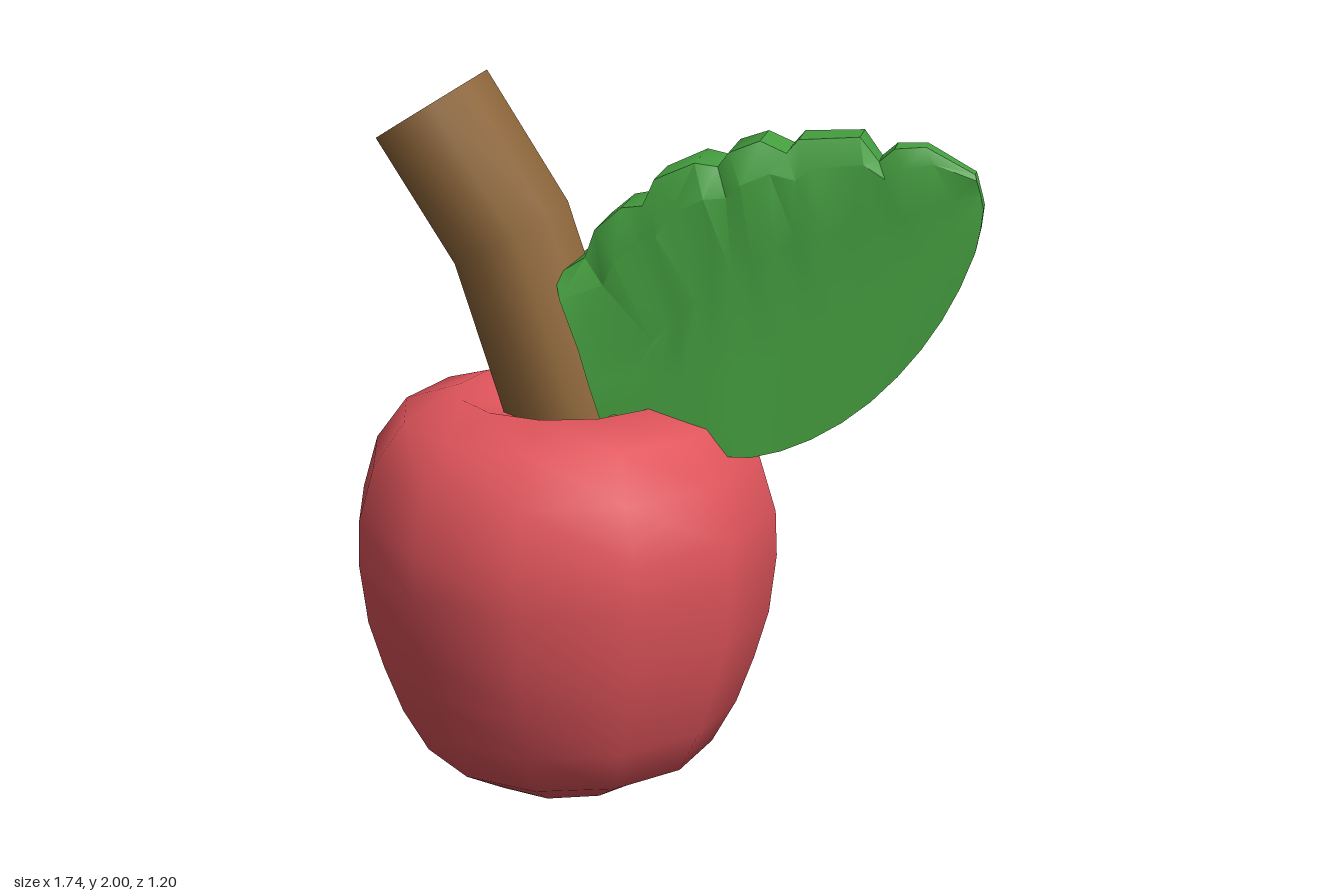
import * as THREE from 'three';
import { toCreasedNormals } from 'three/addons/utils/BufferGeometryUtils.js';

const V = (x, y, z = 0) => new THREE.Vector3(x, y, z);

// Skin a row of equal rings (counter-clockwise seen from ahead); optional fans close the ends.
function loft(rings, capStart, capEnd, crease) {
  const n = rings[0].length, pos = [], idx = [];
  rings.flat().forEach(p => pos.push(p.x, p.y, p.z));
  for (let r = 0; r < rings.length - 1; r++) {
    for (let i = 0; i < n; i++) {
      const a = r * n + i, b = r * n + (i + 1) % n;
      idx.push(a, b, a + n, b, b + n, a + n);
    }
  }
  const cap = (r, flip) => {
    const c = rings[r].reduce((s, p) => s.add(p), V(0, 0)).divideScalar(n);
    const k = pos.length / 3;
    pos.push(c.x, c.y, c.z);
    for (let i = 0; i < n; i++) {
      const a = r * n + i, b = r * n + (i + 1) % n;
      idx.push(...(flip ? [b, a, k] : [a, b, k]));
    }
  };
  if (capStart) cap(0, true);
  if (capEnd) cap(rings.length - 1, false);
  const g = new THREE.BufferGeometry();
  g.setAttribute('position', new THREE.Float32BufferAttribute(pos, 3));
  g.setIndex(idx);
  return toCreasedNormals(g, crease);
}

function part(name, geometry, color) {
  const mesh = new THREE.Mesh(geometry, new THREE.MeshStandardMaterial({ color }));
  mesh.name = name;
  return mesh;
}

// Twelve-sided fruit with a dimple at each end
function makeFruit() {
  const profile = [[0, 0.17], [0.14, 0.12], [0.28, 0.015], [0.42, 0.09], [0.49, 0.22], [0.54, 0.36],
    [0.58, 0.5], [0.6, 0.67], [0.595, 0.8], [0.55, 0.95], [0.46, 1.07], [0.3, 1.12], [0.17, 1.07], [0, 1.02]];
  const g = new THREE.LatheGeometry(profile.map(p => new THREE.Vector2(...p)), 12);
  // the bottom rim dips a little towards front and back
  const p = g.attributes.position;
  for (let i = 0; i < p.count; i++) {
    if (p.getY(i) < 0.05) p.setY(i, 0.03 - 0.1 * Math.abs(p.getZ(i)));
  }
  const mesh = part('fruit', g, 0xdf545b);
  mesh.position.x = -0.27;
  return mesh;
}

// One ten-sided ring of the stem, tilted in the xy plane
function stemRing([x, y, z], tilt, radius) {
  return Array.from({ length: 10 }, (_, i) => {
    const a = i * Math.PI / 5, u = Math.cos(a) * radius;
    return V(x + u * Math.cos(tilt), y + u * Math.sin(tilt), z - Math.sin(a) * radius);
  });
}

// Thick leaf: cross-sections run from the stem to the tip, with a grooved midrib on both faces
function makeLeaf() {
  const upper = [[-0.27, 1.47], [-0.19, 1.52], [-0.16, 1.6], [-0.09, 1.66], [-0.03, 1.67], [0, 1.74],
    [0.11, 1.79], [0.17, 1.78], [0.2, 1.82], [0.28, 1.85], [0.35, 1.82], [0.38, 1.855], [0.54, 1.865],
    [0.59, 1.8], [0.63, 1.835], [0.71, 1.84], [0.84, 1.77]];
  const lower = new THREE.CatmullRomCurve3([V(-0.1, 1.1), V(0.08, 1.02), V(0.25, 0.99), V(0.4, 1.03),
    V(0.55, 1.12), V(0.68, 1.25), V(0.78, 1.4), V(0.85, 1.57), V(0.865, 1.68)]);
  const rib = new THREE.CatmullRomCurve3([V(0, 1.3), V(0.15, 1.45), V(0.35, 1.57), V(0.6, 1.64), V(0.855, 1.72)]);
  const halfWidth = x => THREE.MathUtils.mapLinear(THREE.MathUtils.clamp(x, 0.15, 0.87), 0.15, 0.87, 0.15, 0.028);
  const rings = upper.map(([ux, uy], i) => {
    const t = Math.max(0, (i - 1) / (upper.length - 2));
    const L = i ? lower.getPoint(t) : V(-0.14, 1.08);
    const M = i ? rib.getPoint(t) : V(-0.2, 1.28);
    const U = V(ux, uy);
    const wl = halfWidth(L.x) * 0.97, wu = halfWidth(ux) * (i % 2 ? 0.85 : 0.95);
    const wm = halfWidth(M.x) * (i ? 0.78 : 1);
    const at = (p, z) => V(p.x, p.y, z);
    const Q = L.clone().lerp(M, 0.5), wq = (wl + wm) / 2 + 0.005;
    const S = U.clone().lerp(M, 0.3), ws = wu * 1.04;
    return [at(L, wl), at(L, -wl), at(Q, -wq), at(M, -wm), at(S, -ws), at(U, -wu * 0.75),
      at(U, wu * 0.75), at(S, ws), at(M, wm), at(Q, wq)];
  });
  return part('leaf', loft(rings, true, true, 0.6), 0x45a040);
}

export function createModel() {
  const model = new THREE.Group();
  model.name = 'fruitWithLeaf';
  model.add(makeFruit());

  // Bent stem, ending in a flat rim around the bore
  const top = [-0.637, 1.903, -0.018], tilt = 0.554;
  model.add(part('stem', loft([
    stemRing([-0.215, 0.92, -0.005], 0.3, 0.185),
    stemRing([-0.42, 1.56, -0.01], 0.512, 0.185),
    stemRing(top, tilt, 0.185),
    stemRing(top, tilt, 0.085),
  ], true, false, 0.8), 0x8f673a));

  // Bore in the stem's end
  model.add(part('stemBore', loft([
    stemRing(top, tilt, 0.085),
    stemRing([top[0] + 0.105, top[1] - 0.17, top[2]], tilt, 0.085),
  ], false, true, 0.8), 0x45a040));

  model.add(makeLeaf());
  return model;
}
